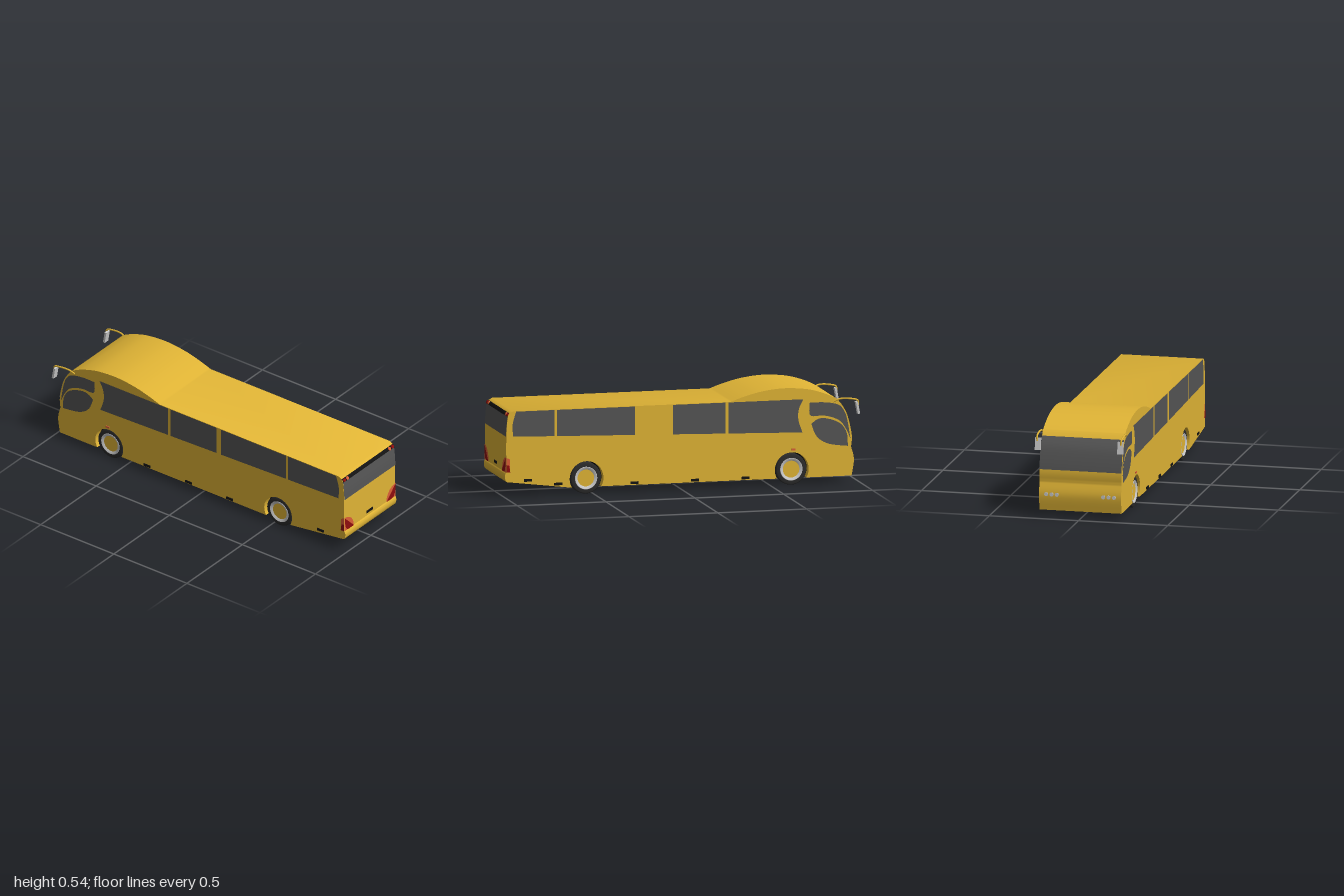
import * as THREE from 'three';
import { toCreasedNormals } from 'three/addons/utils/BufferGeometryUtils.js';

const mat = (color) => new THREE.MeshStandardMaterial({ color, side: THREE.DoubleSide });
const YELLOW = mat(0xe0b435), GLASS = mat(0x555555), BLACK = mat(0x131313), TYRE = mat(0x2b2b2b);
const RIM = mat(0xcccccc), RED = mat(0x8e0d0d), ORANGE = mat(0xdc5f36);
const HALF = 0.23, AXLES = [-0.615, 0.54], HUB_Y = 0.087, ARCH = 0.095;
const v2 = (pts) => pts.map(([x, y]) => new THREE.Vector2(x, y));
const smooth = (pts, n = 16) => new THREE.SplineCurve(v2(pts)).getPoints(n);

export function createModel() {
  const bus = new THREE.Group();
  bus.name = 'coach';

  const add = (name, geometry, material, x = 0, y = 0, z = 0, parent = bus) => {
    const mesh = new THREE.Mesh(geometry, material);
    mesh.name = name;
    mesh.position.set(x, y, z);
    parent.add(mesh);
    return mesh;
  };
  // flat panel lying on one side wall
  const panel = (name, pts, material, side, lift = 0.0015) =>
    add(name, new THREE.ShapeGeometry(new THREE.Shape(pts)), material, 0, 0, side * (HALF + lift));
  // sheet that follows an x-y path across the width
  const strip = (name, pts, material, halfWidth = HALF) => {
    const g = new THREE.PlaneGeometry(2 * halfWidth, 1, 1, pts.length - 1);
    const p = g.attributes.position;
    for (let i = 0; i < p.count; i++) {
      const q = pts[i >> 1];
      p.setXYZ(i, q.x, q.y, p.getX(i));
    }
    g.computeVertexNormals();
    return add(name, g, material);
  };

  // body shell: side profile with wheel arches, extruded across the width
  const lowerNose = smooth([[-0.952, 0.04], [-0.965, 0.13], [-0.949, 0.2]], 10);
  const screen = smooth([[-0.949, 0.2], [-0.953, 0.265], [-0.93, 0.37], [-0.9, 0.43], [-0.87, 0.467]], 20);
  const hump = smooth([[-0.87, 0.467], [-0.8, 0.5], [-0.7, 0.528], [-0.57, 0.538], [-0.45, 0.526], [-0.35, 0.502], [-0.27, 0.475]], 30);
  const rear = smooth([[0.952, 0.475], [0.974, 0.463], [0.983, 0.445], [0.989, 0.39], [0.992, 0.335], [0.992, 0.137]], 24);
  const bumper = smooth([[0.992, 0.137], [0.999, 0.125], [0.998, 0.1], [0.99, 0.085]], 8);
  const profile = new THREE.Shape([...lowerNose, ...screen.slice(1), ...hump.slice(1), ...rear, ...bumper.slice(1)]);
  const a0 = Math.asin((0.04 - HUB_Y) / ARCH);
  profile.lineTo(0.63, 0.04);
  for (const x of [...AXLES].reverse()) profile.absarc(x, HUB_Y, ARCH, a0, Math.PI - a0, false);
  const shell = new THREE.ExtrudeGeometry(profile, { depth: 2 * HALF, bevelEnabled: false, curveSegments: 28 });
  shell.translate(0, 0, -HALF);
  add('bodyShell', toCreasedNormals(shell, 0.5), YELLOW);

  // black floor and wheel arch liners
  strip('floor', v2([[-0.532, 0.0385], [0.457, 0.0385]]), BLACK);
  strip('rearFloor', v2([[0.623, 0.0385], [0.63, 0.0385], [0.99, 0.0835]]), BLACK);
  for (const x of AXLES) {
    const arc = new THREE.EllipseCurve(x, HUB_Y, ARCH - 0.001, ARCH - 0.001, a0, Math.PI - a0);
    strip('archLiner', arc.getPoints(24), BLACK, 0.19);
  }

  // windscreen and rear glass
  const push = (pts, d) => pts.map((p) => new THREE.Vector2(p.x + d, p.y + 0.001));
  strip('windscreen', push(screen.filter((p) => p.y > 0.25 && p.y < 0.445), -0.002), GLASS);
  strip('rearWindow', push(smooth([[0.983, 0.445], [0.989, 0.39], [0.992, 0.335]]), 0.0015), GLASS);
  strip('rearLightBar', push(smooth([[0.972, 0.464], [0.979, 0.455], [0.983, 0.445]], 6), 0.003), BLACK);

  // side windows: bottom edge rises toward the rear
  const sill = (x) => 0.29 + (x + 0.675) * 0.0276;
  const TOP = 0.473;
  const bay = (a, b) => v2([[a, sill(a)], [b, sill(b)], [b, TOP], [a, TOP]]);
  const frontBay = (b) => [
    ...smooth([[-0.68, TOP], [-0.655, 0.42], [-0.652, 0.36], [-0.675, sill(-0.675)]], 12), ...v2([[b, sill(b)], [b, TOP]])];
  const rearBay = (a) => [
    ...v2([[a, TOP], [a, sill(a)]]), ...smooth([[0.953, sill(0.953)], [0.957, 0.4], [0.937, TOP]], 10)];
  const layouts = [
    { side: 1, front: -0.212, bays: [[-0.196, 0.118], [0.15, 0.594]], back: 0.608 },
    { side: -1, front: -0.258, bays: [[-0.242, 0.054], [0.267, 0.707]], back: 0.721 },
  ];
  for (const { side, front, bays, back } of layouts) {
    panel('sideWindow', frontBay(front), GLASS, side);
    bays.forEach(([a, b]) => panel('sideWindow', bay(a, b), GLASS, side));
    panel('sideWindow', rearBay(back), GLASS, side);

    // cab quarter window and the eye shaped pane under it
    panel('quarterWindow', [
      ...smooth([[-0.945, 0.245], [-0.925, 0.36], [-0.9, 0.415], [-0.865, 0.44], [-0.79, 0.452], [-0.715, 0.452]]),
      ...smooth([[-0.713, 0.41], [-0.725, 0.378], [-0.8, 0.378], [-0.88, 0.35], [-0.92, 0.3], [-0.945, 0.245]])], GLASS, side);
    panel('eyePane', [
      ...smooth([[-0.93, 0.205], [-0.925, 0.275], [-0.89, 0.33], [-0.82, 0.36], [-0.765, 0.362], [-0.725, 0.335]]),
      ...smooth([[-0.725, 0.335], [-0.755, 0.265], [-0.82, 0.222], [-0.93, 0.205]])], GLASS, side);

    // small fittings along the skirt
    const fittings = side > 0 ? [-0.355, -0.07, 0.21, 0.83] : [-0.355, -0.07, 0.27, 0.7, 0.87];
    for (const x of fittings) {
      const y = 0.052 + Math.max(0, x - 0.63) * 0.16;
      add('skirtMarker', new THREE.BoxGeometry(0.045, 0.014, 0.008), BLACK, x, y, side * HALF);
    }
    add('sideIndicator', new THREE.BoxGeometry(0.022, 0.01, 0.01), ORANGE, -0.625, 0.198, side * HALF);

    // mirror on a curved arm
    const arm = new THREE.CatmullRomCurve3([[-0.85, 0.452, 0.228], [-0.885, 0.468, 0.236], [-0.95, 0.466, 0.238], [-0.985, 0.455, 0.236], [-0.988, 0.43, 0.234]]
      .map(([x, y, z]) => new THREE.Vector3(x, y, z * side)));
    add('mirrorArm', new THREE.TubeGeometry(arm, 20, 0.005, 8), YELLOW);
    const head = add('mirrorHead', new THREE.BoxGeometry(0.012, 0.068, 0.032), RIM, -0.984, 0.415, side * 0.231);
    head.rotation.z = -0.17;

    // headlamps
    for (const z of [0.13, 0.16, 0.19]) {
      const lamp = add('headlamp', new THREE.CylinderGeometry(0.011, 0.011, 0.008, 16), RIM, -0.964, 0.13, side * z);
      lamp.rotation.z = Math.PI / 2;
    }

    // tail lamps: orange quarter disc with a red lens, wrapping onto the side
    const tail = new THREE.Group();
    tail.name = 'tailLamp';
    tail.position.set(0.9945, 0.138, side * HALF);
    tail.rotation.y = Math.PI / 2;
    tail.scale.x = side;
    bus.add(tail);
    const R = 0.083;
    add('tailLampBase', new THREE.CircleGeometry(R, 20, 0, Math.PI / 2), ORANGE, 0, 0, 0, tail);
    const lens = new THREE.Shape();
    lens.moveTo(R, 0);
    lens.lineTo(0, R);
    lens.bezierCurveTo(0.002, 0.03, 0.012, 0.001, 0.035, 0);
    add('tailLampLens', new THREE.ShapeGeometry(lens), RED, 0, 0, 0.0015, tail);
    panel('tailLampSide', v2([[0.97, 0.138], [0.992, 0.138], [0.992, 0.22], [0.972, 0.21]]), ORANGE, side);
    panel('tailLampSideLens', v2([[0.97, 0.138], [0.992, 0.138], [0.992, 0.18], [0.975, 0.175]]), RED, side, 0.0025);

    // round lamps in the bar above the rear window
    for (const [z, m] of [[0.217, RED], [0.19, ORANGE]]) {
      const lamp = add('upperLamp', new THREE.CylinderGeometry(0.01, 0.01, 0.006, 18), m, 0.983, 0.456, side * z);
      lamp.rotation.z = Math.PI / 2 + 0.4;
    }
  }
  add('numberPlate', new THREE.BoxGeometry(0.004, 0.015, 0.055), BLACK, 0.993, 0.161, 0.002);

  // wheels, doubled on the rear axle
  const tyreProfile = v2([[0.06, -0.023], [0.08, -0.023], [0.086, -0.018], [0.087, 0], [0.086, 0.018], [0.08, 0.023], [0.06, 0.023]]);
  const tyreGeo = new THREE.LatheGeometry(tyreProfile, 36).rotateX(Math.PI / 2);
  const rimGeo = new THREE.LatheGeometry(v2([[0.063, 0.023], [0.06, 0.026], [0.045, 0.017]]), 36).rotateX(Math.PI / 2);
  const hubGeo = new THREE.CylinderGeometry(0.047, 0.047, 0.036, 32).rotateX(Math.PI / 2);
  const discGeo = new THREE.CylinderGeometry(0.062, 0.062, 0.03, 32).rotateX(Math.PI / 2);
  AXLES.forEach((x, i) => {
    for (const side of [1, -1]) {
      const wheel = new THREE.Group();
      wheel.name = i ? 'rearWheel' : 'frontWheel';
      wheel.position.set(x, HUB_Y, side * 0.197);
      if (side < 0) wheel.rotation.y = Math.PI;
      bus.add(wheel);
      add('tyre', tyreGeo, TYRE, 0, 0, 0, wheel);
      add('rim', rimGeo, RIM, 0, 0, 0, wheel);
      add('hub', hubGeo, YELLOW, 0, 0, 0, wheel);
      add('wheelDisc', discGeo, BLACK, 0, 0, -0.004, wheel);
      if (i) {
        add('innerTyre', tyreGeo, TYRE, 0, 0, -0.076, wheel);
        add('innerDisc', discGeo, BLACK, 0, 0, -0.076, wheel);
      }
    }
    const axle = add('axle', new THREE.CylinderGeometry(0.015, 0.015, 0.38, 12), BLACK, x, HUB_Y, 0);
    axle.rotation.x = Math.PI / 2;
  });
  return bus;
}
